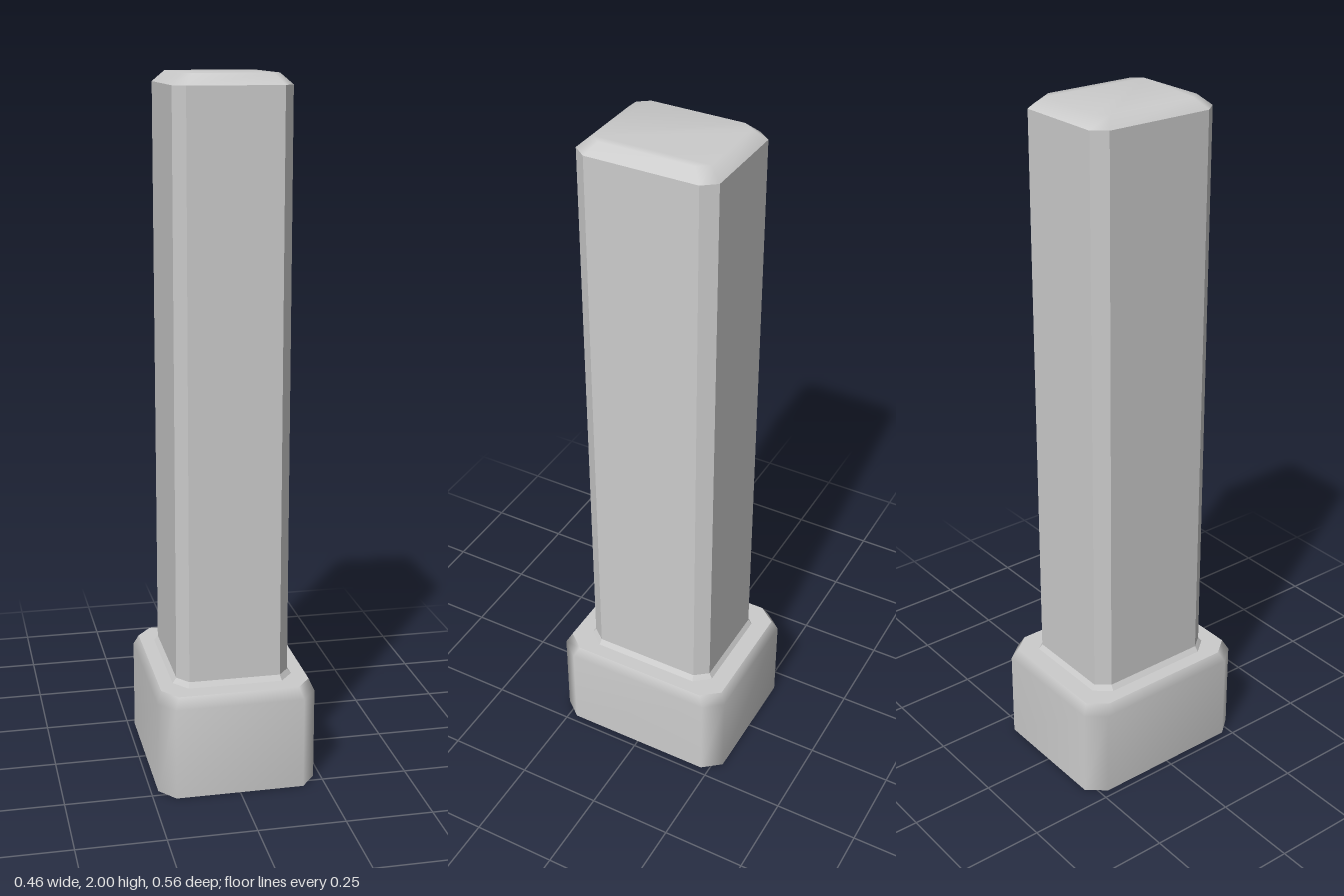
import * as THREE from 'three';

// Chamfered rectangle: half sizes hx, hz; flat half lengths fx, fz; height y
function ring([hx, hz, fx, fz, y]) {
  return [
    [fx, hz], [hx, fz], [hx, -fz], [fx, -hz],
    [-fx, -hz], [-hx, -fz], [-hx, fz], [-fx, hz],
  ].map(([x, z]) => [x, y, z]);
}

// Skin a stack of rings from bottom to top, optionally closing the top
function loft(name, sections, { smooth = false, cap = false } = {}) {
  const points = sections.flatMap(ring);
  const index = [];
  for (let s = 0; s < sections.length - 1; s++) {
    for (let i = 0; i < 8; i++) {
      const a = s * 8 + i, b = s * 8 + (i + 1) % 8;
      index.push(a, b, b + 8, a, b + 8, a + 8);
    }
  }
  if (cap) {
    const first = (sections.length - 1) * 8;
    for (let i = 1; i < 7; i++) index.push(first, first + i, first + i + 1);
  }
  const geometry = new THREE.BufferGeometry();
  geometry.setAttribute('position', new THREE.Float32BufferAttribute(points.flat(), 3));
  geometry.setIndex(index);
  geometry.computeVertexNormals();
  const mesh = new THREE.Mesh(geometry, new THREE.MeshStandardMaterial({
    color: 0xcccccc, flatShading: !smooth, side: THREE.DoubleSide,
  }));
  mesh.name = name;
  return mesh;
}

export function createModel() {
  const group = new THREE.Group();
  group.name = 'post';

  const baseFoot = [0.229, 0.279, 0.185, 0.225, 0];
  const baseShoulder = [0.229, 0.279, 0.185, 0.225, 0.27];
  const baseRim = [0.215, 0.262, 0.173, 0.209, 0.302];
  const collarFoot = [0.174, 0.21, 0.136, 0.163, 0.302];
  const postFoot = [0.163, 0.2, 0.132, 0.161, 0.317];
  const postHead = [0.163, 0.2, 0.132, 0.161, 1.97];
  const postTop = [0.132, 0.165, 0.108, 0.134, 2];

  group.add(
    // Hollow base, open underneath, with a softly bevelled shoulder
    loft('base', [baseFoot, baseShoulder, baseRim], { smooth: true }),
    // Flat ledge around the post and the small sloped collar
    loft('ledge', [baseRim, collarFoot]),
    loft('collar', [collarFoot, postFoot]),
    // Chamfered shaft with crisp edges
    loft('shaft', [postFoot, postHead]),
    // Bevelled top
    loft('cap', [postHead, postTop], { smooth: true, cap: true }),
  );
  return group;
}
